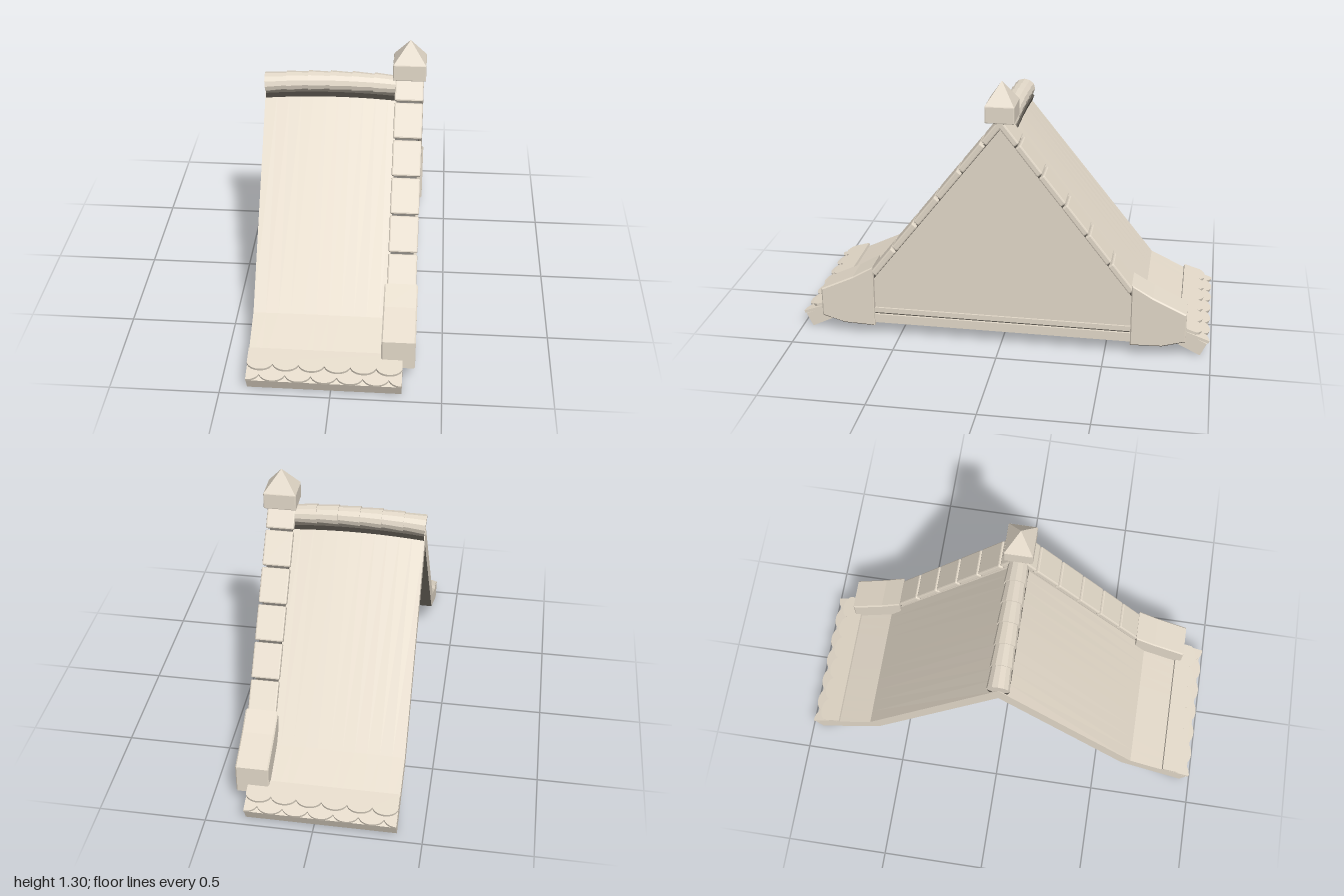
import * as THREE from 'three';
import { RoundedBoxGeometry } from 'three/addons/geometries/RoundedBoxGeometry.js';

function material(name, color) {
  const m = new THREE.MeshStandardMaterial({ color, flatShading: true });
  m.name = name;
  return m;
}
const stone = material('pale stone', 0xe2d8c8);
const rough = material('grey unfinished underside', 0x857e74);
const mortar = material('dark mortar', 0x5e5951);

const ROOF_X0 = -0.38, ROOF_X1 = 0.32, ROOF_MID = -0.03;
const GABLE_X = 0.301;

// gentle rise of the ridge line along its length
const bulge = (x) => 0.018 * (1 - ((x - ROOF_MID) / 0.35) ** 2);

function add(parent, name, geometry, mat = stone) {
  const mesh = new THREE.Mesh(geometry, mat);
  mesh.name = name;
  parent.add(mesh);
  return mesh;
}

// add a part whose soffit faces are left in the grey unfinished stone
function addWithSoffit(parent, name, source) {
  const geo = source.index ? source.toNonIndexed() : source;
  const p = geo.attributes.position;
  const tri = new THREE.Triangle(), normal = new THREE.Vector3();
  geo.clearGroups();
  for (let i = 0; i < p.count; i += 3) {
    tri.setFromAttributeAndIndices(p, i, i + 1, i + 2).getNormal(normal);
    geo.addGroup(i, 3, normal.y < -0.5 ? 1 : 0);
  }
  return add(parent, name, geo, [stone, rough]);
}

// extrude a [z, y] outline from x0 to x1, with optional bevelled edges
function extrudeX(points, x0, x1, bevel = 0, steps = 1) {
  const shape = new THREE.Shape(points.map(([z, y]) => new THREE.Vector2(-z, y)));
  const geo = new THREE.ExtrudeGeometry(shape, {
    depth: x1 - x0 - 2 * bevel, steps, bevelEnabled: bevel > 0,
    bevelThickness: bevel, bevelSize: bevel, bevelOffset: -bevel, bevelSegments: 1,
  });
  return geo.rotateY(Math.PI / 2).translate(x0 + bevel, 0, 0);
}

// lift the upper part of a long piece to follow the curved ridge
function followRidge(geo) {
  const pos = geo.attributes.position;
  for (let i = 0; i < pos.count; i++) {
    const y = pos.getY(i);
    pos.setY(i, y + bulge(pos.getX(i)) * Math.max(0, (y - 0.07) / 0.95));
  }
  geo.computeVertexNormals();
  return geo;
}

// closed outline mirrored about z = 0
const mirrored = (half) => [...half, ...half.slice().reverse().filter(([z]) => z !== 0).map(([z, y]) => [-z, y])];

// thin course of tiles with a scalloped lower edge
function scallopCourse(length, phase, thickness) {
  const width = ROOF_X1 - ROOF_X0, n = 84;
  const shape = new THREE.Shape();
  shape.moveTo(-width / 2, 0);
  for (let i = 0; i <= n; i++) {
    const t = (i / n) * 6 + phase;
    const u = 2 * (t - Math.floor(t)) - 1;
    shape.lineTo(width * (i / n - 0.5), length - 0.042 * (1 - Math.sqrt(1 - 0.92 * u * u)));
  }
  shape.lineTo(width / 2, 0);
  const geo = new THREE.ExtrudeGeometry(shape, { depth: thickness, bevelEnabled: false });
  // lay flat: outline runs along +z, top surface at y = 0
  return geo.rotateX(Math.PI / 2);
}

export function createModel() {
  const model = new THREE.Group();
  model.name = 'gabledRoof';

  // roof shell, open underneath, with flared eaves
  addWithSoffit(model, 'roofShell', followRidge(extrudeX([
    [0, 1.05], [0.675, 0.21], [0.98, 0.063], [0.95, 0], [0.632, 0.156], [0, 0.945],
    [-0.632, 0.156], [-0.95, 0], [-0.98, 0.063], [-0.675, 0.21],
  ], ROOF_X0, ROOF_X1, 0, 12)));

  // dark mortar bed under tapered, overlapping ridge tiles
  const ridge = new THREE.Group();
  ridge.name = 'ridgeTiles';
  model.add(ridge);
  add(ridge, 'ridgeBed', followRidge(extrudeX(
    mirrored([[-0.04, 0.998], [-0.051, 1.03], [0, 1.05]]), -0.376, 0.245, 0, 12)), mortar);
  const step = 0.615 / 6;
  for (let i = 0; i < 6; i++) {
    const xa = ROOF_X0 + i * step, xb = xa + step + 0.01;
    const geo = new THREE.CylinderGeometry(0.054, 0.047, xb - xa, 12).rotateZ(Math.PI / 2).scale(1, 0.88, 1);
    const tile = add(ridge, 'ridgeTile', geo);
    tile.position.set((xa + xb) / 2, 1.063 + bulge((xa + xb) / 2), 0);
    tile.rotation.z = Math.atan2(bulge(xb) - bulge(xa), xb - xa);
  }

  // two courses of scalloped tiles on each eave
  for (const turn of [0, Math.PI]) {
    const side = new THREE.Group();
    side.name = turn ? 'backEaveTiles' : 'frontEaveTiles';
    side.rotation.y = turn;
    side.position.x = ROOF_MID;
    model.add(side);
    const slope = new THREE.Group();
    slope.position.set(0, 0.21, 0.675);
    slope.rotation.x = Math.atan2(0.147, 0.305);
    side.add(slope);
    const lower = add(slope, 'lowerTileCourse', scallopCourse(0.145, 0.5, 0.014));
    lower.position.set(0, 0.005, 0.198);
    lower.rotation.x = -0.1;
    const upper = add(slope, 'upperTileCourse', scallopCourse(0.112, 0, 0.014));
    upper.position.set(0, 0.017, 0.185);
    upper.rotation.x = -0.16;
  }

  // gable wall topped by a mortar course, with sill mouldings
  add(model, 'gableWall', extrudeX(mirrored([[-0.63, 0.07], [-0.63, 0.286], [0, 1.09]]), 0.245, 0.348));
  add(model, 'copingMortar', extrudeX(
    [[-0.63, 0.286], [0, 1.09], [0.63, 0.286], [0.63, 0.31], [0, 1.114], [-0.63, 0.31]].reverse(), 0.243, 0.35), mortar);
  const band = (name, y0, y1, x1) => {
    const geo = new THREE.BoxGeometry(x1 - 0.24, y1 - y0, 1.26);
    return [name, geo.translate((x1 + 0.24) / 2, (y0 + y1) / 2, 0)];
  };
  addWithSoffit(model, ...band('sillBase', 0.068, 0.112, 0.362));
  add(model, ...band('sillJoint', 0.111, 0.121, 0.351), mortar);
  add(model, ...band('sillBand', 0.12, 0.145, 0.357));

  // coping stones and kneeler on both slopes of the gable
  const pitch = Math.atan2(0.76, 0.595), thick = 0.032;
  for (const s of [1, -1]) {
    for (let k = 0; k < 6; k++) {
      const y = 1.099 - 0.139 * k;
      const z = 0.02 + ((1.12 - y) * 0.595) / 0.76;
      const block = add(model, 'copingStone', new RoundedBoxGeometry(0.134, thick, 0.168, 1, 0.007));
      block.position.set(GABLE_X, y - 0.616 * thick / 2, s * (z - 0.787 * thick / 2));
      block.rotation.x = s * pitch;
    }
    const outline = [[0.62, 0.055], [0.77, 0.06], [0.88, 0.092], [0.88, 0.235], [0.72, 0.31], [0.62, 0.368]];
    addWithSoffit(model, 'kneelerStone', extrudeX(outline.map(([z, y]) => [s * z, y]), 0.222, 0.376, 0.006));
  }

  // finial at the apex
  const base = addWithSoffit(model, 'finialBlock', new RoundedBoxGeometry(0.154, 0.082, 0.136, 1, 0.005));
  base.position.set(GABLE_X, 1.165, 0);
  const cap = add(model, 'finialCap', new THREE.ConeGeometry(Math.SQRT1_2, 1, 4).rotateY(Math.PI / 4));
  cap.scale.set(0.15, 0.1, 0.132);
  cap.position.set(GABLE_X, 1.255, 0);

  return model;
}
